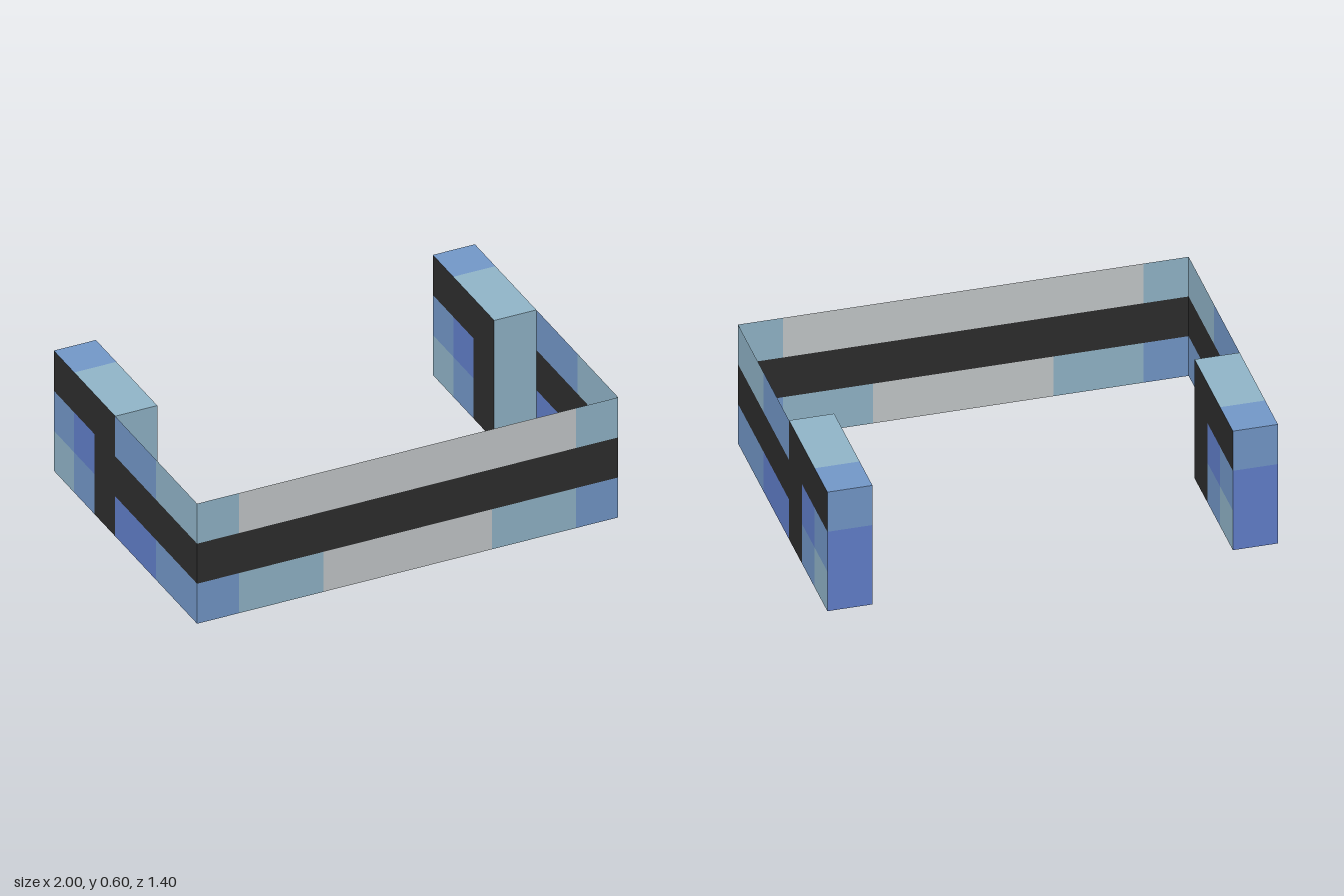
import * as THREE from 'three';

const paint = (name, color) =>
  new THREE.MeshStandardMaterial({ name, color, side: THREE.DoubleSide });

export function createModel() {
  const teal = paint('pale teal', 0x91b5c9);
  const blue = paint('mid blue', 0x7398c9);
  const deep = paint('deep blue', 0x627fcb);
  const grey = paint('light grey', 0xc4c8ca);
  const dark = paint('charcoal', 0x2d2d2d);

  const model = new THREE.Group();
  model.name = 'squareFrame';

  // Flat panel in local XY made of coloured cells [u0, u1, v0, v1, material]
  function panel(name, cells) {
    const group = new THREE.Group();
    group.name = name;
    cells.forEach(([u0, u1, v0, v1, material], i) => {
      const geometry = new THREE.PlaneGeometry(u1 - u0, v1 - v0);
      geometry.translate((u0 + u1) / 2, (v0 + v1) / 2, 0);
      const mesh = new THREE.Mesh(geometry, material);
      mesh.name = `${name}Patch${i + 1}`;
      group.add(mesh);
    });
    return group;
  }

  // Panel standing across the model at depth z
  function across(name, z, cells) {
    const p = panel(name, cells);
    p.position.z = z;
    return p;
  }
  // Panel running front to back at x, where u = -z
  function along(name, x, cells) {
    const p = panel(name, cells);
    p.position.x = x;
    p.rotation.y = Math.PI / 2;
    return p;
  }
  // Horizontal panel at height y, where v = -z
  function level(name, y, cells) {
    const p = panel(name, cells);
    p.position.y = y;
    p.rotation.x = -Math.PI / 2;
    return p;
  }

  // Thin front band
  model.add(across('frontBand', 0.7, [
    [-1, -0.8, 0.4, 0.6, teal], [-0.8, 0.8, 0.4, 0.6, grey], [0.8, 1, 0.4, 0.6, teal],
    [-1, 1, 0.2, 0.4, dark],
    [-1, -0.8, 0, 0.2, blue], [-0.8, -0.4, 0, 0.2, teal], [-0.4, 0.4, 0, 0.2, grey],
    [0.4, 0.8, 0, 0.2, teal], [0.8, 1, 0, 0.2, blue],
  ]));

  // Thin side arm pattern
  const armCells = [
    [-0.7, -0.3, 0.4, 0.6, teal], [-0.3, 0.1, 0.4, 0.6, blue],
    [-0.7, 0.1, 0.2, 0.4, dark],
    [-0.7, -0.3, 0, 0.2, blue], [-0.3, 0.1, 0, 0.2, deep],
  ];
  // Side pattern of the rear block: dark hook around four patches
  const blockCells = [
    [0.1, 0.7, 0.4, 0.6, dark], [0.1, 0.3, 0, 0.4, dark],
    [0.3, 0.5, 0.2, 0.4, deep], [0.5, 0.7, 0.2, 0.4, blue],
    [0.3, 0.5, 0, 0.2, blue], [0.5, 0.7, 0, 0.2, teal],
  ];

  for (const [side, s] of [['left', 1], ['right', -1]]) {
    model.add(along(`${side}Arm`, s, armCells));

    // Solid block at the rear end of the arm
    const x0 = s > 0 ? 0.8 : -1;
    const x1 = x0 + 0.2;
    const block = new THREE.Group();
    block.name = `${side}RearBlock`;
    block.add(
      along('outerFace', s, blockCells),
      along('innerFace', s * 0.8, blockCells),
      across('frontFace', -0.1, [[x0, x1, 0, 0.6, teal]]),
      across('backFace', -0.7, [[x0, x1, 0.4, 0.6, blue], [x0, x1, 0, 0.4, deep]]),
      level('topFace', 0.6, [[x0, x1, 0.1, 0.5, teal], [x0, x1, 0.5, 0.7, blue]]),
      level('bottomFace', 0, [[x0, x1, 0.1, 0.3, teal], [x0, x1, 0.3, 0.7, deep]]),
    );
    model.add(block);
  }
  return model;
}
